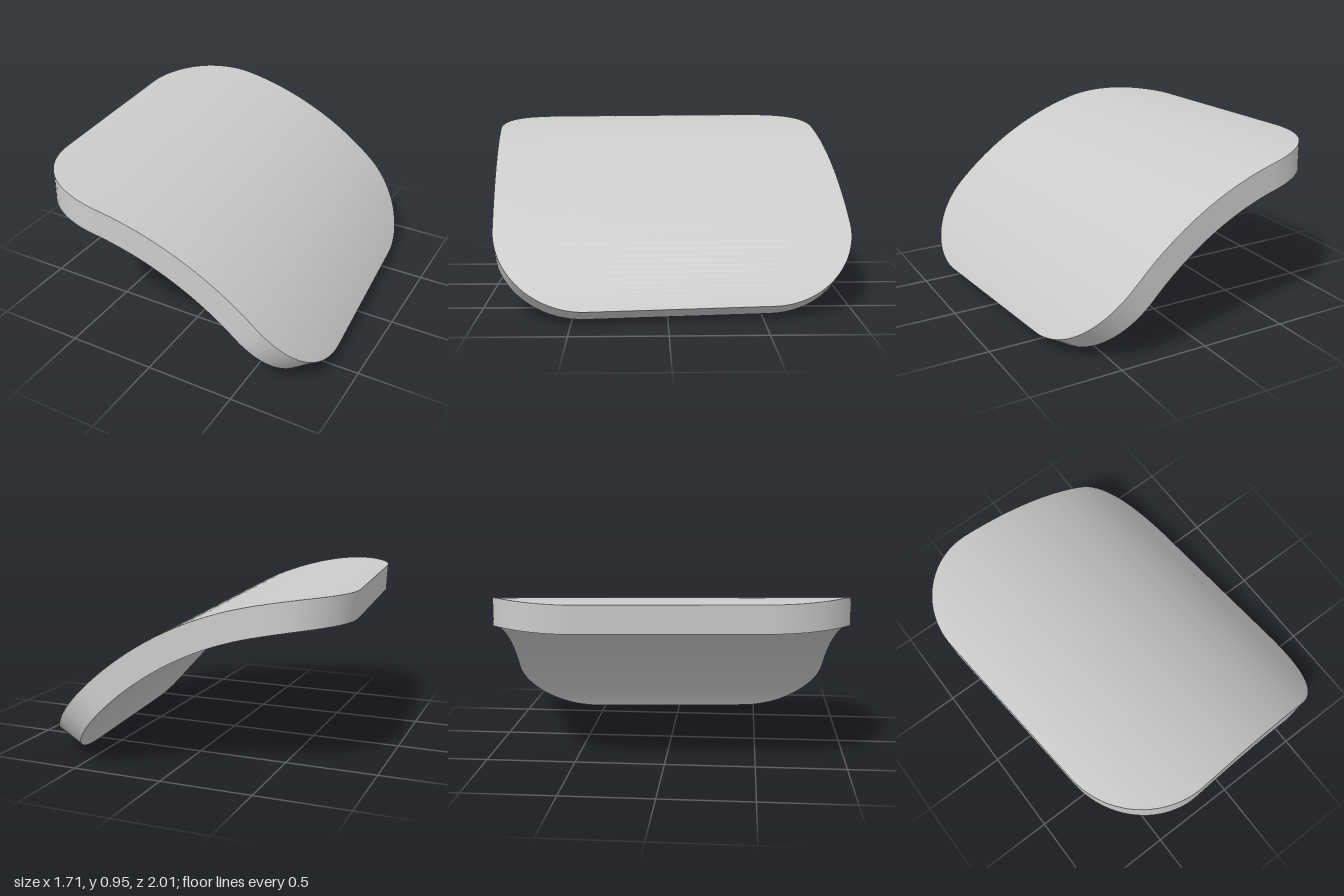
import * as THREE from 'three';

// Rounded square plate, bent around a horizontal axis and turned slightly
const RADIUS = 1.81, THICKNESS = 0.15, HALF = 0.97, CORNER = 0.48;
const MID_ANGLE = THREE.MathUtils.degToRad(28.1);
const AXIS_X = -0.74, AXIS_Y = -0.857, TURN = 0.087;

// Wraps a flat outline point (s along the bend, w across it) onto a radius
function bend([s, w], radius) {
  const angle = MID_ANGLE + s / RADIUS;
  return [AXIS_X + radius * Math.sin(angle), AXIS_Y + radius * Math.cos(angle), w];
}

// Smooth strip of quads between two lines of equal length
function strip(name, lineA, lineB, material) {
  const index = [], n = lineA.length;
  for (let i = 0; i < n - 1; i++) {
    index.push(i, i + 1, n + i + 1, i, n + i + 1, n + i);
  }
  const geometry = new THREE.BufferGeometry();
  geometry.setAttribute('position', new THREE.Float32BufferAttribute([...lineA, ...lineB].flat(), 3));
  geometry.setIndex(index);
  geometry.computeVertexNormals();
  const mesh = new THREE.Mesh(geometry, material);
  mesh.name = name;
  return mesh;
}

export function createModel() {
  const material = new THREE.MeshStandardMaterial({ color: 0xcccccc });
  const flat = HALF - CORNER;

  // Front half of the outline: corner arc, straight edge, corner arc
  const front = [];
  const cornerSteps = 20, edgeSteps = 24;
  for (let i = 0; i <= cornerSteps; i++) {
    const a = (i / cornerSteps) * Math.PI / 2;
    front.push([-flat - CORNER * Math.cos(a), flat + CORNER * Math.sin(a)]);
  }
  for (let i = 1; i < edgeSteps; i++) front.push([-flat + 2 * flat * i / edgeSteps, HALF]);
  for (let i = 0; i <= cornerSteps; i++) {
    const a = (i / cornerSteps) * Math.PI / 2;
    front.push([flat + CORNER * Math.sin(a), flat + CORNER * Math.cos(a)]);
  }
  const back = front.map(([s, w]) => [s, -w]);
  const loop = [...front, ...back.slice().reverse(), front[0]];

  const outer = (line) => line.map((p) => bend(p, RADIUS));
  const inner = (line) => line.map((p) => bend(p, RADIUS - THICKNESS));

  const plate = new THREE.Group();
  plate.name = 'curvedPlate';
  plate.add(
    strip('topSurface', outer(front), outer(back), material),
    strip('undersideSurface', inner(back), inner(front), material),
    strip('rim', inner(loop), outer(loop), material),
  );
  plate.rotation.y = TURN;

  const model = new THREE.Group();
  model.add(plate);
  return model;
}
